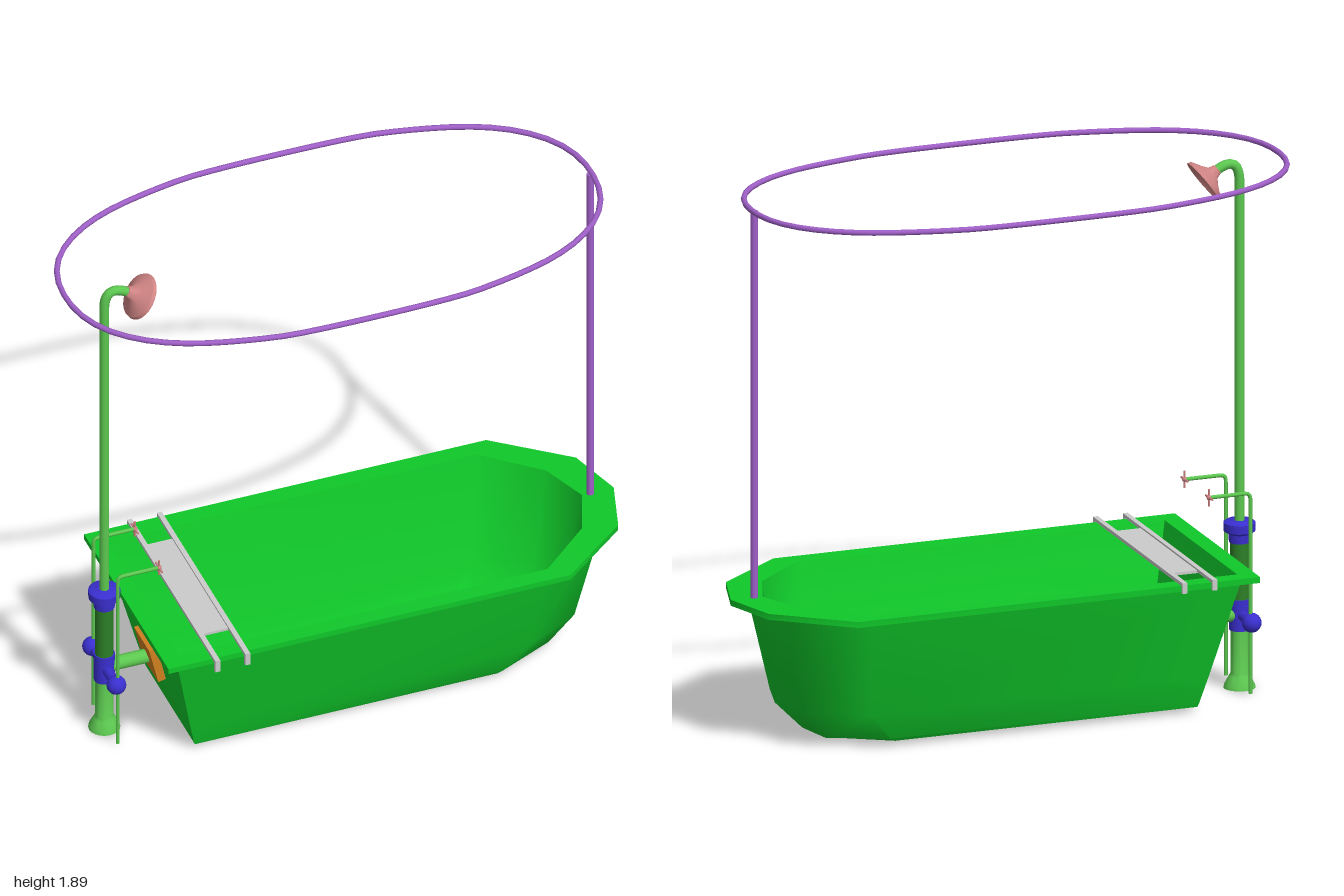
import * as THREE from 'three';
import { toCreasedNormals } from 'three/addons/utils/BufferGeometryUtils.js';

const mat = (color, side = THREE.FrontSide) => new THREE.MeshStandardMaterial({ color, side });
const tubGreen = mat(0x10c82a, THREE.DoubleSide);
const pipeGreen = mat(0x5cc850), darkGreen = mat(0x2c8026);
const blue = mat(0x3a2fd0), pink = mat(0xd08484, THREE.DoubleSide);
const orange = mat(0xd08020), purple = mat(0xa060c8), grey = mat(0xcccccc);
const V = (x, y, z) => new THREE.Vector3(x, y, z);

export function createModel() {
  const model = new THREE.Group();

  const add = (name, geo, material, x = 0, y = 0, z = 0) => {
    const m = new THREE.Mesh(geo, material);
    m.name = name;
    m.position.set(x, y, z);
    model.add(m);
    return m;
  };
  // Straight rod between two points
  const rod = (name, a, b, r, material, sides = 12) => {
    const m = add(name, new THREE.CylinderGeometry(r, r, a.distanceTo(b), sides), material);
    m.position.copy(a).add(b).multiplyScalar(0.5);
    m.quaternion.setFromUnitVectors(V(0, 1, 0), b.clone().sub(a).normalize());
    return m;
  };
  const lathe = (pts, sides = 20) => toCreasedNormals(
    new THREE.LatheGeometry(pts.map(p => new THREE.Vector2(...p)), sides), 0.7);

  add('tub', tubGeometry(), tubGreen);

  // Curtain rail: one quarter outline, mirrored into a closed loop
  const q = [[0.95, 0.08], [0.905, 0.2], [0.81, 0.305], [0.66, 0.39], [0.38, 0.462], [0.24, 0.475]];
  const back = [...q].reverse();
  const loop = [
    ...q, ...back.map(([x, z]) => [-x, z]),
    ...q.map(([x, z]) => [-x, -z]), ...back.map(([x, z]) => [x, -z]),
  ].map(([x, z]) => V(x - 0.045, 1.88, z));
  add('curtainRail', new THREE.TubeGeometry(new THREE.CatmullRomCurve3(loop, true), 72, 0.01, 8, true), purple);
  rod('railPole', V(0.905, 0.505, 0), V(0.905, 1.88, 0), 0.013, purple);

  // Shower riser with its bent neck
  const px = -0.86;
  const riser = new THREE.CurvePath();
  riser.add(new THREE.LineCurve3(V(px, 0.55, 0), V(px, 1.79, 0)));
  riser.add(new THREE.CubicBezierCurve3(V(px, 1.79, 0), V(px, 1.87, 0), V(-0.82, 1.87, 0), V(-0.77, 1.835, 0)));
  add('riserPipe', new THREE.TubeGeometry(riser, 90, 0.017, 12), pipeGreen);

  // Shower head: dished bell tilted towards the tub
  const head = add('showerHead', lathe([
    [0, -0.065], [0.018, -0.065], [0.024, -0.045], [0.045, -0.03],
    [0.078, -0.012], [0.082, 0], [0.074, 0], [0.06, -0.012], [0, -0.02],
  ], 24), pink, -0.727, 1.805, 0);
  head.quaternion.setFromUnitVectors(V(0, 1, 0), V(0.81, -0.59, 0).normalize());

  // Supply column, foot and collars
  add('columnFoot', lathe([[0, 0], [0.055, 0], [0.052, 0.012], [0.036, 0.042], [0.031, 0.05], [0.031, 0.22]]), pipeGreen, px);
  rod('column', V(px, 0.3, 0), V(px, 0.54, 0), 0.032, darkGreen, 16);
  add('upperCollar', lathe([
    [0, 0.515], [0.036, 0.515], [0.038, 0.545], [0.054, 0.555], [0.055, 0.585], [0.045, 0.592], [0, 0.592],
  ]), blue, px);
  add('lowerCollar', new THREE.CylinderGeometry(0.036, 0.036, 0.11, 20), blue, px, 0.26, 0);
  rod('valveArm', V(px, 0.26, -0.115), V(px, 0.26, 0.115), 0.018, blue);

  // Pipe into the tub wall
  rod('inletPipe', V(px, 0.26, 0), V(-0.68, 0.26, 0), 0.025, pipeGreen, 16);
  add('inletFlange', new THREE.BoxGeometry(0.032, 0.145, 0.145), orange, -0.692, 0.268, 0).rotation.z = 0.23;

  // Hot and cold taps
  for (const s of [-1, 1]) {
    const z = 0.115 * s, tx = -0.855, y = 0.72;
    add('valveBall', new THREE.SphereGeometry(0.034, 16, 12), blue, px, 0.26, z);
    const path = new THREE.CurvePath();
    path.add(new THREE.LineCurve3(V(tx, 0.01, z), V(tx, y - 0.02, z)));
    path.add(new THREE.QuadraticBezierCurve3(V(tx, y - 0.02, z), V(tx, y, z), V(tx + 0.02, y, z)));
    path.add(new THREE.LineCurve3(V(tx + 0.02, y, z), V(-0.705, y, z)));
    add('tapPipe', new THREE.TubeGeometry(path, 90, 0.007, 8), pipeGreen);
    rod('tapHandle', V(-0.705, y - 0.03, z), V(-0.705, y + 0.03, z), 0.004, pink, 8);
    rod('tapHandle', V(-0.705, y, z - 0.03), V(-0.705, y, z + 0.03), 0.004, pink, 8);
    add('tapHub', new THREE.SphereGeometry(0.009, 10, 8), pink, -0.705, y, z);
  }

  // Bath tray with two bars hooked over the rim
  add('trayPlate', new THREE.BoxGeometry(0.11, 0.01, 0.53), grey, -0.558, 0.511, 0);
  for (const x of [-0.612, -0.503]) {
    add('trayBar', new THREE.BoxGeometry(0.018, 0.012, 0.84), grey, x, 0.516, 0.01);
    add('trayHook', new THREE.BoxGeometry(0.018, 0.045, 0.014), grey, x, 0.497, 0.423);
    add('trayHook', new THREE.BoxGeometry(0.018, 0.035, 0.01), grey, x, 0.502, -0.405);
  }
  return model;
}

// Tub lofted through plan outlines, from the inner floor over the rim to the underside
function tubGeometry() {
  // y, head x, chamfer start x, half width, chamfer end x, its z, tip x
  const rings = [
    [0.05, -0.58, 0.48, 0.19, 0.64, 0.11, 0.67],
    [0.14, -0.63, 0.57, 0.235, 0.75, 0.14, 0.79],
    [0.51, -0.72, 0.62, 0.34, 0.81, 0.17, 0.875],
    [0.511, -0.78, 0.68, 0.40, 0.93, 0.20, 0.99],
    [0.49, -0.78, 0.68, 0.40, 0.93, 0.20, 0.99],
    [0.485, -0.73, 0.62, 0.35, 0.86, 0.20, 0.91],
    [0.13, -0.647, 0.58, 0.258, 0.79, 0.15, 0.83],
    [0.03, -0.622, 0.5, 0.232, 0.70, 0.14, 0.73],
    [0.02, -0.618, 0.48, 0.228, 0.64, 0.13, 0.67],
  ];
  const n = 7, pos = [], idx = [];
  for (const [y, x0, xs, hw, xc, zc, x1] of rings) {
    pos.push(x0, y, hw, xs, y, hw, xc, y, zc, x1, y, 0, xc, y, -zc, xs, y, -hw, x0, y, -hw);
  }
  const last = (rings.length - 1) * n, floor = rings.length * n, base = floor + 1;
  pos.push(0, rings[0][0], 0, 0, rings.at(-1)[0], 0);
  for (let i = 0; i < n; i++) {
    const j = (i + 1) % n;
    for (let k = 0; k < last; k += n) {
      idx.push(k + n + i, k + n + j, k + j, k + n + i, k + j, k + i);
    }
    idx.push(floor, i, j, base, last + j, last + i);
  }
  const g = new THREE.BufferGeometry();
  g.setAttribute('position', new THREE.Float32BufferAttribute(pos, 3));
  g.setIndex(idx);
  return toCreasedNormals(g, 0.95);
}
